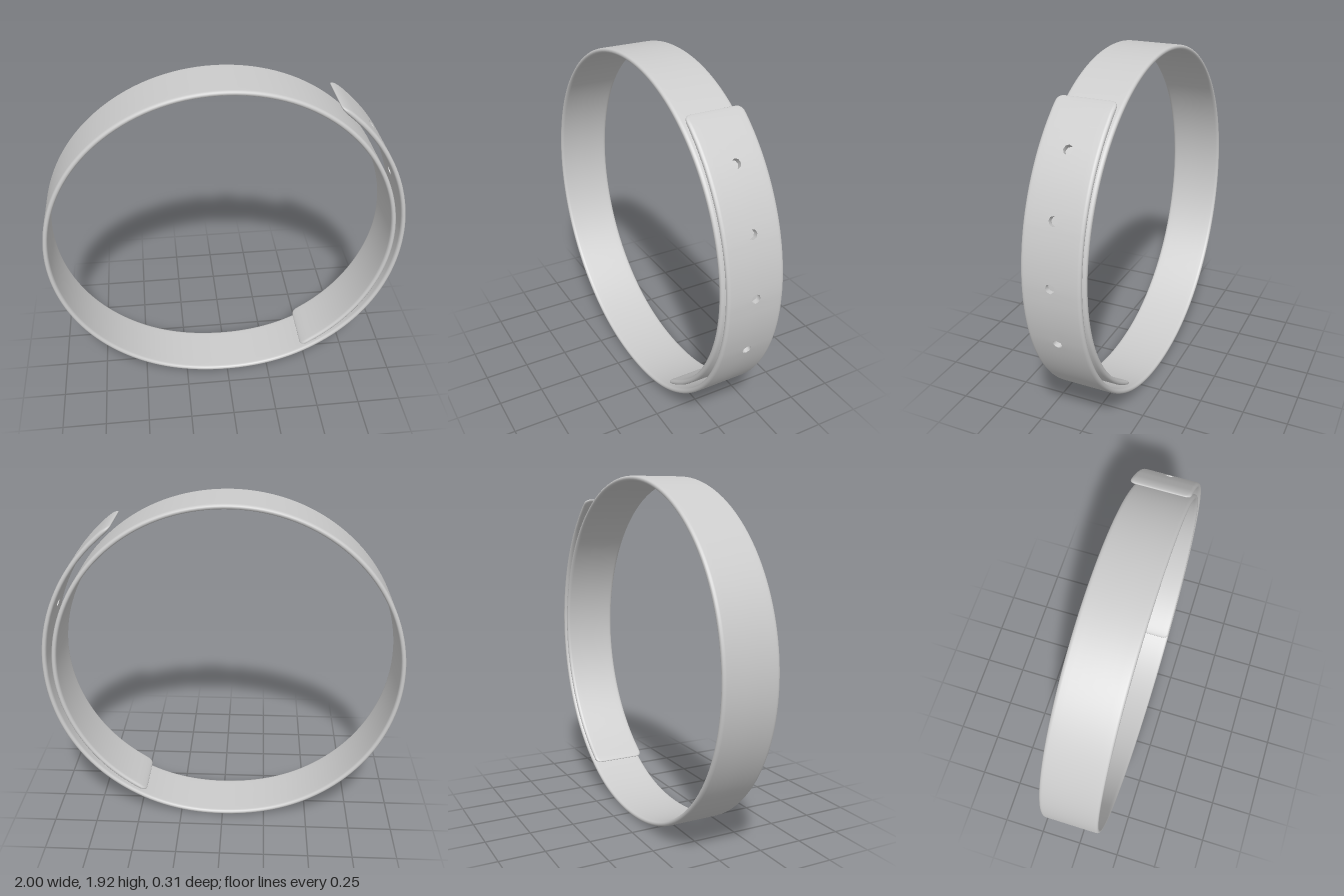
import * as THREE from 'three';
import { mergeVertices } from 'three/addons/utils/BufferGeometryUtils.js';

const HALF_W = 0.157, HALF_T = 0.0135, HOLE_R = 0.025, CORNER = 0.035;
const START = -58.6, END = 414.4; // degrees travelled by the strap
const HOLES = [344.5, 362.8, 380.7, 398.9];
const rad = THREE.MathUtils.degToRad;

// Radius of the strap's middle line, one knot every 30 degrees from -60 to 420
const RADII = [0.931, 0.948, 0.962, 0.959, 0.953, 0.946, 0.948, 0.954, 0.957,
  0.954, 0.948, 0.945, 0.975, 1.003, 1.015, 1.021, 1.027];
const spiral = new THREE.CatmullRomCurve3(
  RADII.map((r, i) => new THREE.Vector3(i, r, 0)), false, 'catmullrom');
const radiusAt = (deg) => spiral.getPoint((deg + 60) / 480).y;

// Quarter-round falloff used for the strap's soft edges and ends
const round = (d, size) => Math.sqrt(1 - (1 - Math.min(d / size, 1)) ** 2);

// Point on the strap: angle, fraction across the width, side (+1 outer, -1 inner)
function strapPoint(deg, f, side) {
  const r = radiusAt(deg);
  const d = Math.max(0, rad(Math.min(deg - START, END - deg)) * r);
  const half = HALF_W - CORNER + CORNER * round(d, CORNER);
  const edge = (1 - Math.abs(f)) * half;
  const rr = r + side * HALF_T * round(d, 0.08) * round(edge, 0.016);
  return [-0.03 + rr * Math.cos(rad(deg)), 0.96 + rr * Math.sin(rad(deg)), f * half];
}

function buildGeometry(positions, index) {
  const g = new THREE.BufferGeometry();
  g.setAttribute('position', new THREE.Float32BufferAttribute(positions, 3));
  g.setIndex(index);
  const merged = mergeVertices(g, 1e-5);
  merged.computeVertexNormals();
  return merged;
}

export function createModel() {
  const group = new THREE.Group();
  group.name = 'strapLoop';
  const material = new THREE.MeshStandardMaterial({ color: 0xcccccc });

  // Stations along the strap: even steps, finer at the ends, three per hole
  const holeStep = THREE.MathUtils.radToDeg(HOLE_R / 1.018);
  const stations = [];
  for (let a = START + 7; a < END - 6; a += 2.5) {
    if (HOLES.every((h) => Math.abs(a - h) > holeStep + 0.6)) stations.push(a);
  }
  for (const d of [0, 0.1, 0.3, 0.7, 1.2, 2, 3, 4.5]) stations.push(START + d, END - d);
  for (const h of HOLES) stations.push(h - holeStep, h, h + holeStep);
  stations.sort((a, b) => a - b);

  // Columns across the width
  const hf = HOLE_R / HALF_W;
  const halfCols = [hf, 0.4, 0.7, 0.88, 0.93, 0.97, 0.99, 1];
  const cols = [...halfCols.map((f) => -f).reverse(), 0, ...halfCols];
  const mid = halfCols.length;
  const holeRows = HOLES.map((h) => stations.indexOf(h));

  // Strap: outer and inner skins, with the cells around each hole left open
  const positions = [], index = [];
  for (const side of [1, -1]) {
    const base = positions.length / 3;
    stations.forEach((a, i) => cols.forEach((f, j) => {
      const row = holeRows.find((h) => Math.abs(h - i) === 1);
      const corner = row !== undefined && Math.abs(j - mid) === 1;
      const k = corner ? Math.SQRT1_2 : 1; // pull square corners onto the circle
      const angle = corner ? stations[row] + (a - stations[row]) * k : a;
      positions.push(...strapPoint(angle, f * k, side));
    }));
    for (let i = 0; i < stations.length - 1; i++) {
      for (let j = 0; j < cols.length - 1; j++) {
        const open = (j === mid - 1 || j === mid) && holeRows.some((h) => i === h - 1 || i === h);
        if (open) continue;
        const a = base + i * cols.length + j, b = a + cols.length;
        if (side > 0) index.push(a, b, b + 1, a, b + 1, a + 1);
        else index.push(a, b + 1, b, a, a + 1, b + 1);
      }
    }
  }
  const strap = new THREE.Mesh(buildGeometry(positions, index), material);
  strap.name = 'strap';
  group.add(strap);

  // Walls of the punched holes
  HOLES.forEach((h, n) => {
    const wall = [], faces = [];
    for (let k = 0; k < 8; k++) {
      const p = k * Math.PI / 4;
      for (const side of [1, -1]) {
        wall.push(...strapPoint(h + holeStep * Math.cos(p), hf * Math.sin(p), side));
      }
      const a = k * 2, b = ((k + 1) % 8) * 2;
      faces.push(a, b, b + 1, a, b + 1, a + 1);
    }
    const mesh = new THREE.Mesh(buildGeometry(wall, faces), material);
    mesh.name = `holeWall${n + 1}`;
    group.add(mesh);
  });

  return group;
}
